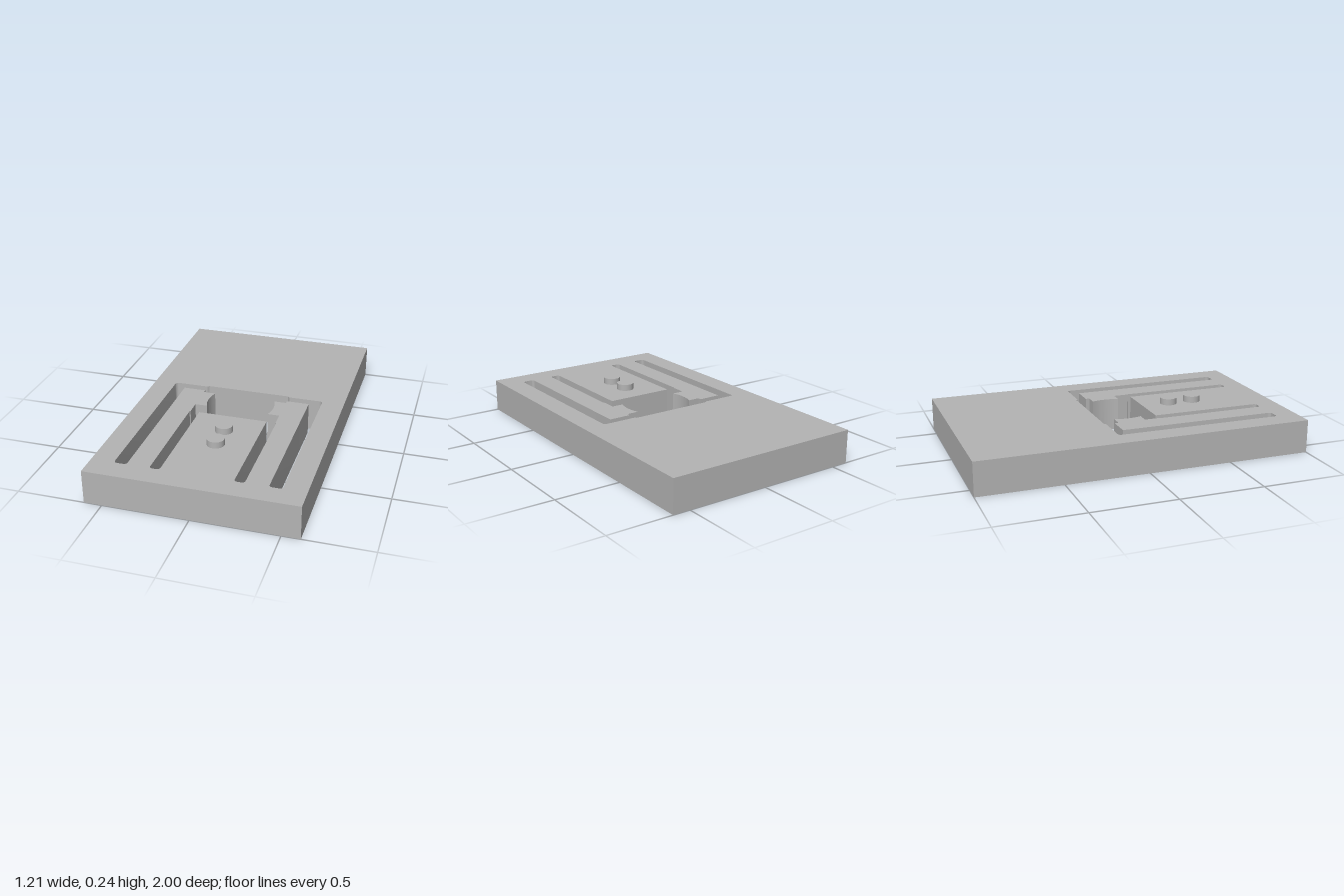
import * as THREE from 'three';
import { toCreasedNormals } from 'three/addons/utils/BufferGeometryUtils.js';

const W = 0.605, L = 1, H = 0.2;

// Right half of the cut-out as [x, z, corner radius], from the back middle to the tongue tip
function cutoutHalf() {
  const r = 0.022;
  const jaw = [];
  for (let i = 0; i <= 12; i++) {
    const t = i / 6 - 1;
    jaw.push([0.19 + 0.015 * (1 - t * t), 0.021 + 0.084 * t, 0]);
  }
  return [
    [0.255, -0.15, 0], [0.265, -0.14, 0],
    // outer slot
    [0.472, -0.14, r], [0.472, 0.868, r], [0.398, 0.868, r],
    // spring arm end and hollow jaw
    [0.398, -0.087, 0], [0.262, -0.087, 0], [0.262, -0.063, 0],
    ...jaw,
    [0.262, 0.105, 0], [0.262, 0.195, 0], [0.267, 0.2, 0],
    // inner slot and tongue
    [0.267, 0.868, r], [0.208, 0.868, r], [0.208, 0.195, 0],
  ];
}

// Closed path through the points, rounding corners that have a radius
function roundedPath(points) {
  const path = new THREE.Path();
  const n = points.length;
  const v = points.map(([x, z]) => new THREE.Vector2(x, -z));
  points.forEach(([, , r], i) => {
    const p = v[i];
    const toward = (q) => p.clone().add(q.clone().sub(p).setLength(r));
    const start = r ? toward(v[(i + n - 1) % n]) : p;
    if (i === 0) path.moveTo(start.x, start.y);
    else path.lineTo(start.x, start.y);
    if (r) {
      const end = toward(v[(i + 1) % n]);
      path.quadraticCurveTo(p.x, p.y, end.x, end.y);
    }
  });
  path.closePath();
  return path;
}

export function createModel() {
  const model = new THREE.Group();
  model.name = 'clampPlate';
  const grey = new THREE.MeshStandardMaterial({ color: 0xb4b4b4 });
  grey.name = 'grey';

  // Plate with the spring arms and tongue left standing by one cut-out
  const half = cutoutHalf();
  const mirrored = half.map(([x, z, r]) => [-x, z, r]).reverse();
  const outline = new THREE.Shape([
    new THREE.Vector2(-W, -L), new THREE.Vector2(W, -L),
    new THREE.Vector2(W, L), new THREE.Vector2(-W, L),
  ]);
  outline.holes.push(roundedPath([...half, ...mirrored]));
  const geometry = new THREE.ExtrudeGeometry(outline, { depth: H, bevelEnabled: false, curveSegments: 8 });
  geometry.rotateX(-Math.PI / 2);
  const plate = new THREE.Mesh(toCreasedNormals(geometry, 0.5), grey);
  plate.name = 'plate';
  model.add(plate);

  // Two round pegs on the tongue
  [['backPeg', 0.367], ['frontPeg', 0.525]].forEach(([name, z]) => {
    const peg = new THREE.Mesh(new THREE.CylinderGeometry(0.052, 0.052, 0.05, 48), grey);
    peg.name = name;
    peg.position.set(0, H + 0.014, z);
    model.add(peg);
  });
  return model;
}
